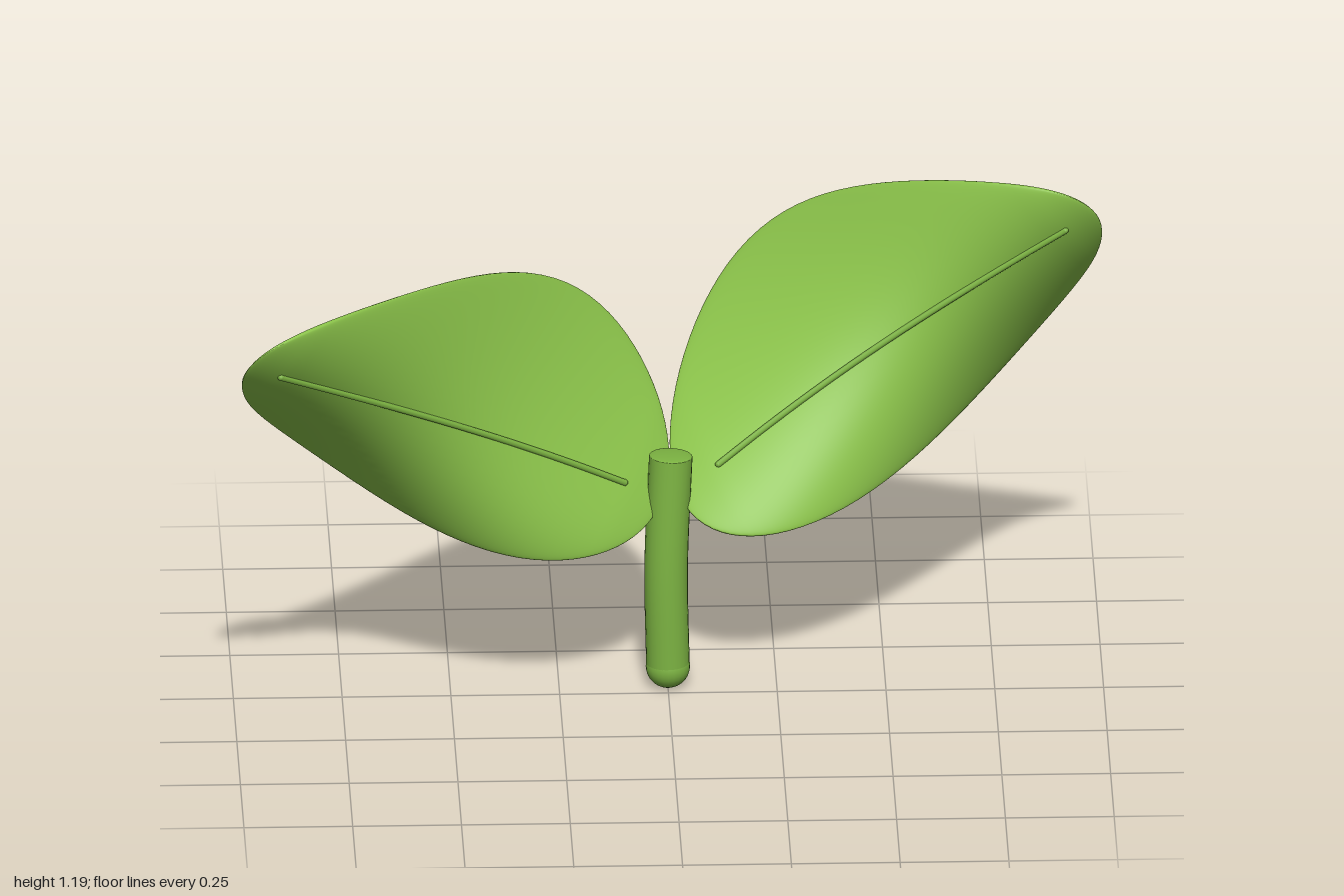
import * as THREE from 'three';
import { mergeVertices } from 'three/addons/utils/BufferGeometryUtils.js';

const leafMat = new THREE.MeshStandardMaterial({ color: 0x8bc34a });
const stemMat = new THREE.MeshStandardMaterial({ color: 0x7cb342 });
const THICK = 0.011; // half thickness of a leaf

// Each leaf is laid out along a tilted axis, then bent, twisted and cupped in z
const LEAVES = [
  { name: 'leftLeaf', side: 1, base: [0.03, 0.467], dir: [0.82, 0.572], length: 1.16, half: 0.281,
    bend: [-0.047, -0.35, 0.23], twist: [-0.38, 0.81], cup: 2.45 },
  { name: 'rightLeaf', side: -1, base: [-0.013, 0.462], dir: [-0.853, 0.522], length: 1.13, half: 0.286,
    bend: [-0.052, 0.33, 0.15], twist: [-0.34, 0.82], cup: 2.65 },
];

// Point at distance s along the axis and w across it, lifted off the surface along its normal
function leafPoint(leaf, s, w, lift) {
  const { base, dir, side, bend, twist, cup, length } = leaf;
  const across = [-dir[1] * side, dir[0] * side];
  const turn = (Math.PI * s) / length;
  const slope = twist[0] - twist[1] * Math.cos(turn);
  const z = bend[0] + bend[1] * s + bend[2] * s * s + slope * w - cup * w * w;
  const ds = bend[1] + 2 * bend[2] * s + twist[1] * (Math.PI / length) * Math.sin(turn) * w;
  const dw = slope - 2 * cup * w;
  const k = lift / Math.hypot(ds, dw, 1);
  const a = s - ds * k, b = w - dw * k;
  return new THREE.Vector3(
    base[0] + dir[0] * a + across[0] * b,
    base[1] + dir[1] * a + across[1] * b,
    z + k
  );
}

// Closed blade of even thickness with a rounded rim, from cross-section loops
function bladeGeometry(leaf, rows = 48, cols = 72) {
  const pos = [], index = [];
  for (let i = 0; i <= rows; i++) {
    const s = leaf.length * (1 - Math.cos((Math.PI * i) / rows)) / 2;
    const outline = Math.sqrt(Math.max(0, Math.sin((Math.PI * s) / leaf.length)));
    for (let j = 0; j < cols; j++) {
      const phi = (2 * Math.PI * j) / cols;
      const w = leaf.side * leaf.half * outline * Math.cos(phi);
      const lift = THICK * Math.min(1, outline * 2) * Math.sign(Math.sin(phi)) * Math.abs(Math.sin(phi)) ** 0.4;
      pos.push(...leafPoint(leaf, s, w, lift).toArray());
      if (i < rows) {
        const n = (j + 1) % cols;
        const a = i * cols + j, b = a + cols, c = i * cols + n, d = c + cols;
        index.push(a, c, b, b, c, d);
      }
    }
  }
  const geo = new THREE.BufferGeometry();
  geo.setAttribute('position', new THREE.Float32BufferAttribute(pos, 3));
  geo.setIndex(index);
  const merged = mergeVertices(geo, 1e-5);
  merged.computeVertexNormals();
  return merged;
}

function addMesh(parent, name, geo, mat) {
  const mesh = new THREE.Mesh(geo, mat);
  mesh.name = name;
  parent.add(mesh);
  return mesh;
}

export function createModel() {
  const model = new THREE.Group();
  model.name = 'sprout';

  // Leaves with a raised midrib on the front face
  for (const leaf of LEAVES) {
    const group = new THREE.Group();
    group.name = leaf.name;
    addMesh(group, 'blade', bladeGeometry(leaf), leafMat);
    const ribPoints = [];
    for (let i = 0; i <= 8; i++) {
      ribPoints.push(leafPoint(leaf, 0.11 + (leaf.length - 0.19) * (i / 8), 0, THICK));
    }
    const rib = new THREE.CatmullRomCurve3(ribPoints);
    addMesh(group, 'midrib', new THREE.TubeGeometry(rib, 40, 0.008, 8), stemMat);
    for (const end of [ribPoints[0], ribPoints[8]]) {
      addMesh(group, 'midribEnd', new THREE.SphereGeometry(0.008, 8, 6), stemMat).position.copy(end);
    }
    model.add(group);
  }

  // Slightly curved stem with a softly domed top and a rounded foot
  const stem = new THREE.Group();
  stem.name = 'stem';
  const path = new THREE.CatmullRomCurve3([
    new THREE.Vector3(0, 0.05, -0.04),
    new THREE.Vector3(-0.004, 0.3, -0.04),
    new THREE.Vector3(0.007, 0.57, -0.052),
  ]);
  addMesh(stem, 'stalk', new THREE.TubeGeometry(path, 20, 0.05, 24), stemMat);
  const topGeo = new THREE.SphereGeometry(0.05, 24, 8, 0, Math.PI * 2, 0, Math.PI / 2);
  const top = addMesh(stem, 'stalkTop', topGeo.scale(1, 0.12, 1), stemMat);
  top.position.copy(path.getPoint(1));
  top.quaternion.setFromUnitVectors(new THREE.Vector3(0, 1, 0), path.getTangent(1));
  addMesh(stem, 'foot', new THREE.SphereGeometry(0.051, 24, 16), stemMat).position.set(0, 0.051, -0.04);
  model.add(stem);

  return model;
}
